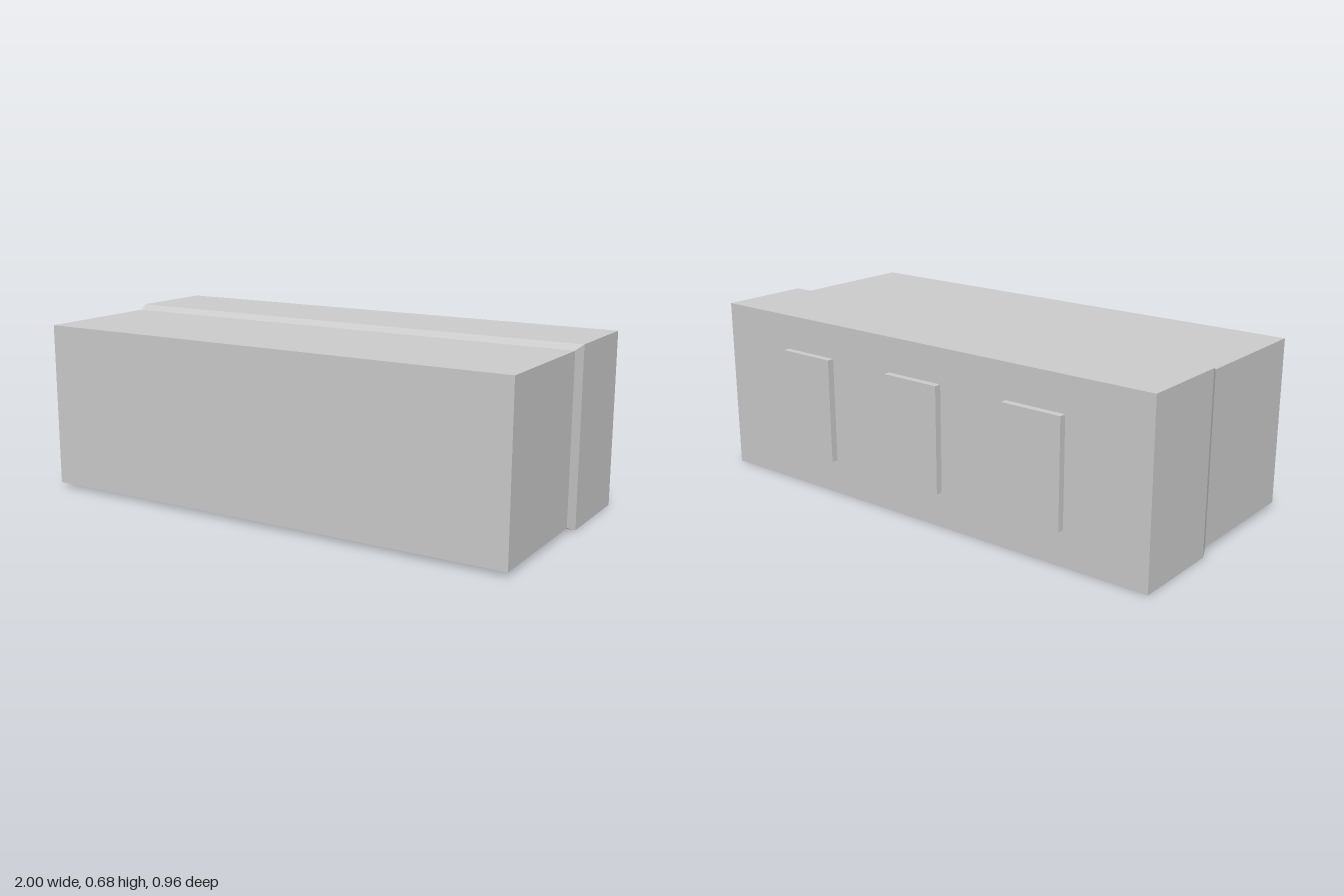
import * as THREE from 'three';

const material = new THREE.MeshStandardMaterial({ color: 0xcccccc, flatShading: true });
const CENTER_Y = 0.341;

// Rectangular cross-sections of the casing, from back to front
const sections = [
  { z: -0.454, w: 2.0, h: 0.682 },
  { z: -0.09, w: 2.0, h: 0.682 },
  { z: -0.046, w: 1.966, h: 0.647 },
  { z: 0.481, w: 1.966, h: 0.647 },
];

// A unit box with three depth segments, each ring of vertices fitted to its section
function casingGeometry() {
  const box = new THREE.BoxGeometry(1, 1, 1, 1, 1, sections.length - 1);
  const p = box.attributes.position;
  for (let i = 0; i < p.count; i++) {
    const s = sections[Math.round((p.getZ(i) + 0.5) * (sections.length - 1))];
    p.setXYZ(i, p.getX(i) * s.w, p.getY(i) * s.h + CENTER_Y, s.z);
  }
  const flat = box.toNonIndexed();
  flat.computeVertexNormals();
  return flat;
}

export function createModel() {
  const model = new THREE.Group();
  model.name = 'steppedCasing';

  const casing = new THREE.Mesh(casingGeometry(), material);
  casing.name = 'casing';
  model.add(casing);

  // Three raised plates on the back, sunk slightly into the casing
  const plate = new THREE.BoxGeometry(0.246, 0.41, 0.037);
  ['right', 'middle', 'left'].forEach((side, i) => {
    const mesh = new THREE.Mesh(plate, material);
    mesh.name = `${side}BackPlate`;
    mesh.position.set((i - 1) * 0.539, 0.342, -0.4625);
    model.add(mesh);
  });

  return model;
}
